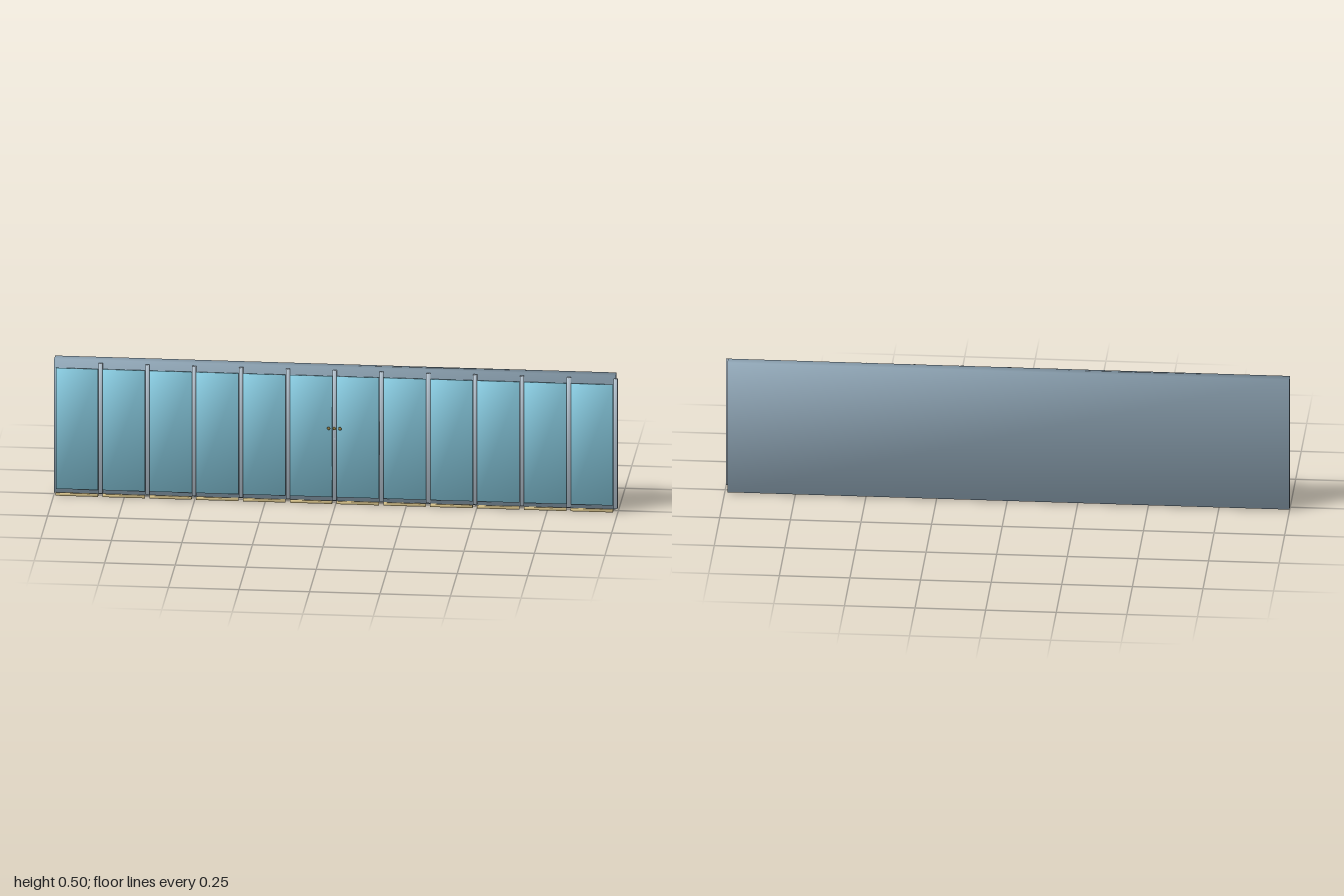
import * as THREE from 'three';

const mat = (name, color) => {
  const m = new THREE.MeshStandardMaterial({ color });
  m.name = name;
  return m;
};

export function createModel() {
  const root = new THREE.Group();
  root.name = 'panelledWall';

  const slate = mat('slate', 0x8fa5b5);
  const glass = mat('glassBlue', 0x87c9de);
  const steel = mat('paleSteel', 0xbccbd8);
  const gold = mat('paleGold', 0xd9c48c);
  const brass = mat('brass', 0x9c8648);

  // Box given by its limits, with normals blended smoothly around the corners
  function softBox(name, material, [x0, x1], [y0, y1], [z0, z1], parent = root) {
    const geo = new THREE.BoxGeometry(x1 - x0, y1 - y0, z1 - z0);
    const p = geo.attributes.position, n = geo.attributes.normal, s = Math.sqrt(1 / 3);
    for (let i = 0; i < p.count; i++) {
      n.setXYZ(i, Math.sign(p.getX(i)) * s, Math.sign(p.getY(i)) * s, Math.sign(p.getZ(i)) * s);
    }
    const mesh = new THREE.Mesh(geo, material);
    mesh.name = name;
    mesh.position.set((x0 + x1) / 2, (y0 + y1) / 2, (z0 + z1) / 2);
    parent.add(mesh);
    return mesh;
  }

  // Backing slab
  softBox('backWall', slate, [-1, 0.99], [0.005, 0.503], [-0.033, 0.003]);

  // Twelve bays: glass pane, upright post at its left edge, sill below
  const pitch = 0.166;
  for (let i = 0; i < 12; i++) {
    const x = 0.992 - pitch * (11 - i);
    const bay = new THREE.Group();
    bay.name = 'bay' + (i + 1);
    softBox('glassPane', glass, [x - 0.159, x - 0.009], [0.024, 0.473], [0.012, 0.017], bay);
    softBox('post', steel, [x - 0.007, x + 0.007], [0.014, 0.495], [0.01, 0.023], bay);
    softBox('sill', gold, [x - 0.159, x - 0.009], [0, 0.009], [0.011, 0.022], bay);
    root.add(bay);
  }

  // Door knobs beside the central post
  const knobGeo = new THREE.SphereGeometry(0.006, 12, 8);
  for (const x of [-0.024, -0.004, 0.016]) {
    const knob = new THREE.Mesh(knobGeo, brass);
    knob.name = 'doorKnob';
    knob.position.set(x, 0.284, 0.0315);
    knob.scale.z = 0.4;
    root.add(knob);
  }

  // Lock running through the central post
  const lock = new THREE.Mesh(new THREE.CylinderGeometry(0.003, 0.003, 0.0205, 10), steel);
  lock.name = 'lock';
  lock.rotation.x = Math.PI / 2;
  lock.position.set(-0.004, 0.243, 0.0133);
  root.add(lock);

  return root;
}
